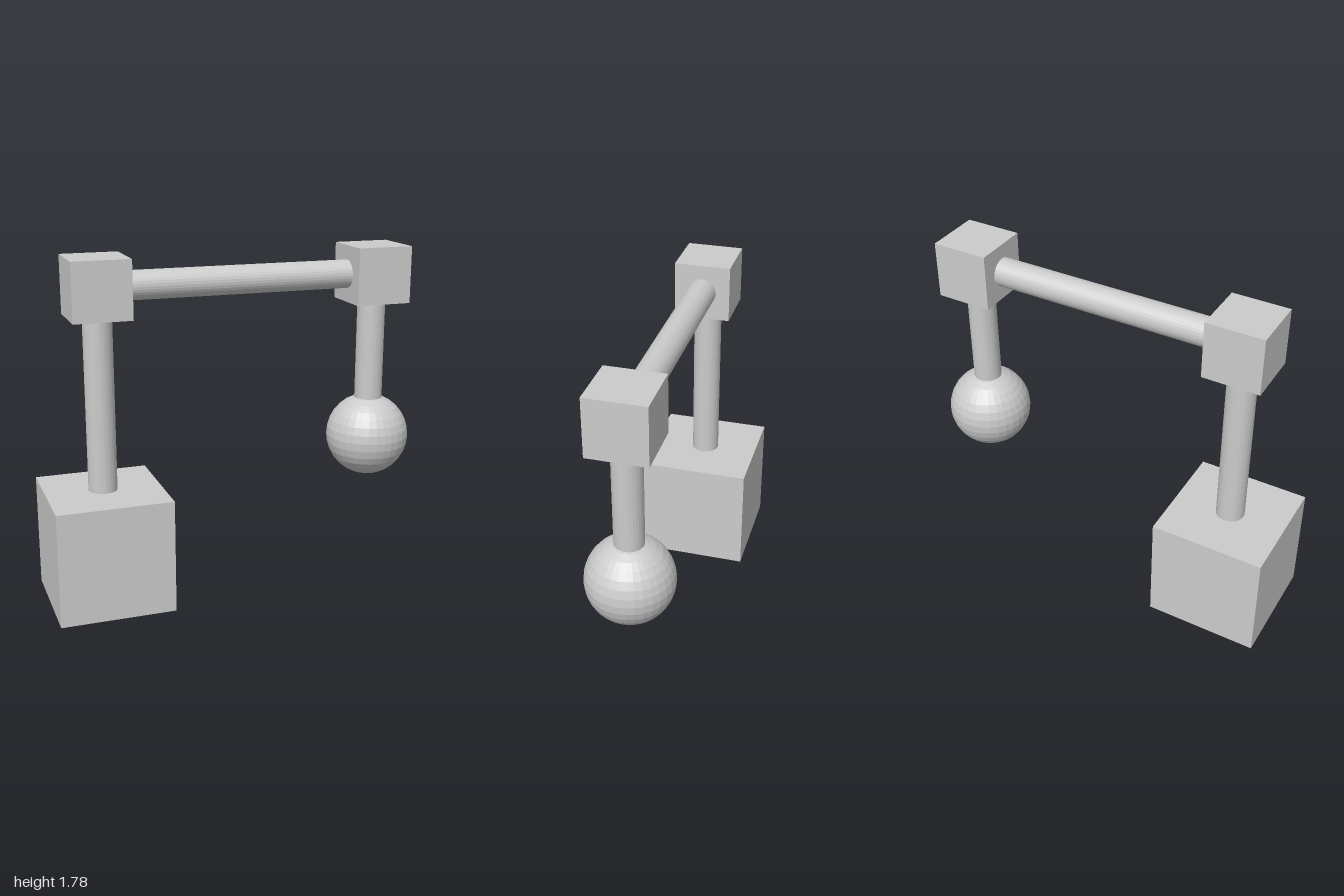
import * as THREE from 'three';

export function createModel() {
  const group = new THREE.Group();
  const material = new THREE.MeshStandardMaterial({ color: 0xcccccc, flatShading: true });
  const baseX = -0.704, ballX = 0.778, beamY = 1.631, ballY = 0.744;
  const rodRadius = 0.074;

  const add = (name, geometry, x, y) => {
    const mesh = new THREE.Mesh(geometry, material);
    mesh.name = name;
    mesh.position.set(x, y, 0);
    group.add(mesh);
    return mesh;
  };
  const cube = (name, size, x, y) => add(name, new THREE.BoxGeometry(size, size, size), x, y);
  const rod = (name, length, x, y) =>
    add(name, new THREE.CylinderGeometry(rodRadius, rodRadius, length, 32), x, y);
  // Upright rod between two heights
  const upright = (name, x, y0, y1) => rod(name, y1 - y0, x, (y0 + y1) / 2);

  // Base block and corner joints
  cube('base', 0.592, baseX, 0.296);
  cube('postJoint', 0.296, baseX, beamY);
  cube('hangerJoint', 0.296, ballX, beamY);

  // Post, horizontal beam and hanger
  upright('post', baseX, 0.56, 1.52);
  rod('beam', ballX - baseX - 0.24, (baseX + ballX) / 2, beamY).rotation.z = Math.PI / 2;
  upright('hanger', ballX, 0.85, 1.52);

  // Hanging ball
  add('ball', new THREE.SphereGeometry(0.222, 32, 16), ballX, ballY);

  return group;
}
